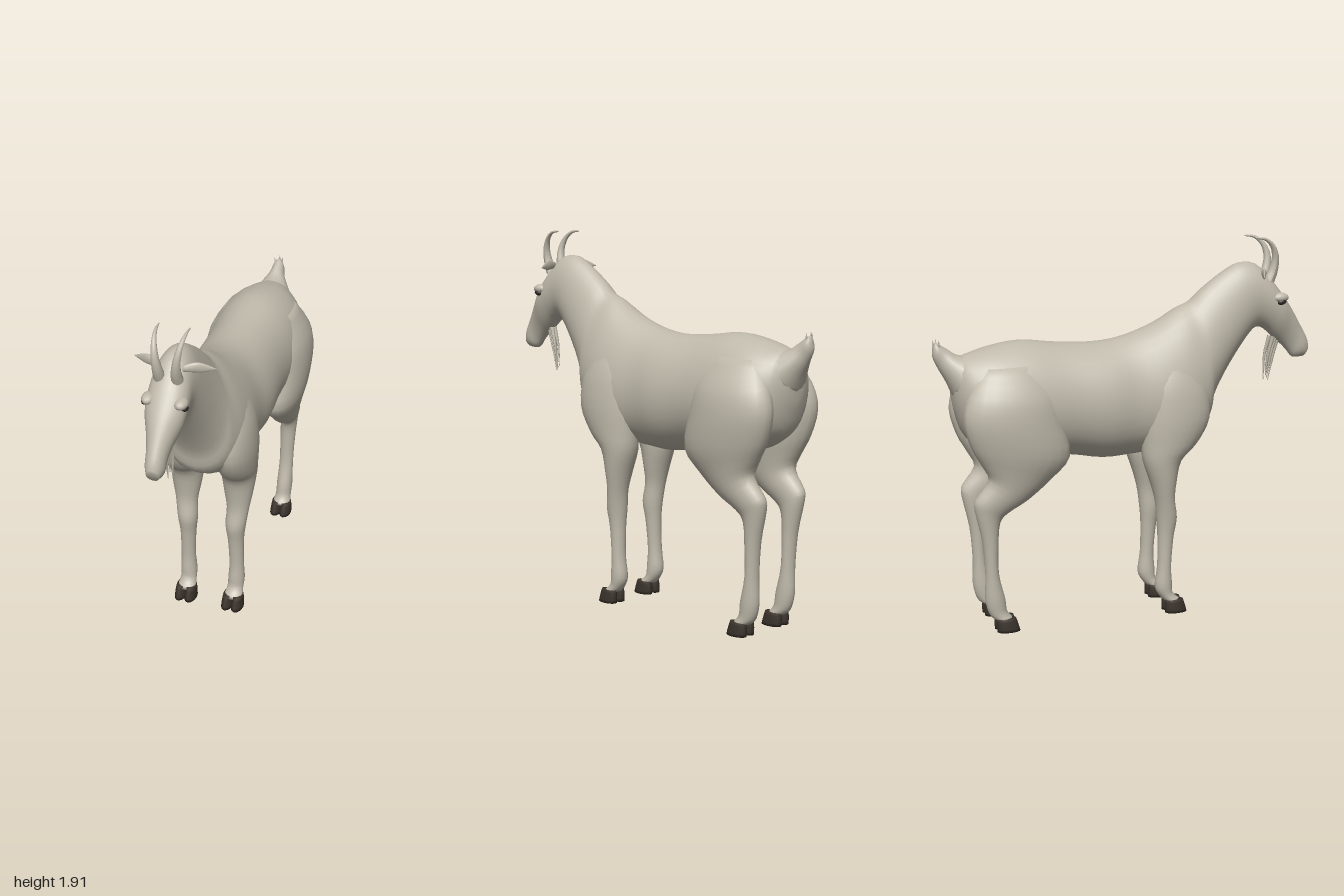
import * as THREE from 'three';

const coat = new THREE.MeshStandardMaterial({ color: 0xbfb9aa });
coat.name = 'coat';
const hoofDark = new THREE.MeshStandardMaterial({ color: 0x3a322b });
hoofDark.name = 'hoof brown';
const eyeDark = new THREE.MeshStandardMaterial({ color: 0x2e2b29 });
eyeDark.name = 'eye dark';

// Closed skin through oval rings. Section: [zTop, yTop, zBottom, yBottom, centreX, halfWidth, egg]
// (egg > 0 makes the lower side of the ring wider). Values are splined between sections.
function loft(sections, sides = 24, sub = 3) {
  const rows = (sections.length - 1) * sub;
  const at = (i, k) => sections[Math.max(0, Math.min(sections.length - 1, i))][k] ?? 0;
  const pos = [], index = [], centres = [];
  for (let r = 0; r <= rows; r++) {
    const i = Math.min(Math.floor(r / sub), sections.length - 2), t = r / sub - i;
    const [zt, yt, zb, yb, cx, w, egg] = [0, 1, 2, 3, 4, 5, 6].map((k) => {
      const a = at(i - 1, k), b = at(i, k), c = at(i + 1, k), d = at(i + 2, k);
      return b + 0.5 * t * (c - a + t * (2 * a - 5 * b + 4 * c - d + t * (3 * (b - c) + d - a)));
    });
    centres.push([cx, (yt + yb) / 2, (zt + zb) / 2]);
    for (let s = 0; s < sides; s++) {
      const a = (s / sides) * Math.PI * 2, c = Math.cos(a);
      pos.push(cx + w * Math.sin(a) * (1 - egg * c), (yt + yb) / 2 + c * (yt - yb) / 2, (zt + zb) / 2 + c * (zt - zb) / 2);
    }
  }
  for (let r = 0; r < rows; r++) {
    for (let s = 0; s < sides; s++) {
      const a = r * sides + s, b = r * sides + (s + 1) % sides;
      index.push(a, a + sides, b, b, a + sides, b + sides);
    }
  }
  // end caps
  const first = pos.length / 3, last = first + 1;
  pos.push(...centres[0], ...centres[rows]);
  for (let s = 0; s < sides; s++) {
    const n = (s + 1) % sides, o = rows * sides;
    index.push(first, s, n, last, o + n, o + s);
  }
  const g = new THREE.BufferGeometry();
  g.setAttribute('position', new THREE.Float32BufferAttribute(pos, 3));
  g.setIndex(index);
  g.computeVertexNormals();
  return g;
}

// Tube along points, narrowing from r0 to r1
function taperedTube(points, r0, r1, sides = 10) {
  const curve = new THREE.CatmullRomCurve3(points.map((p) => new THREE.Vector3(...p)));
  const g = new THREE.TubeGeometry(curve, 16, r0, sides);
  const p = g.attributes.position, v = new THREE.Vector3();
  for (let i = 0; i < p.count; i++) {
    const u = g.attributes.uv.getX(i), c = curve.getPointAt(u);
    v.fromBufferAttribute(p, i).sub(c).multiplyScalar(1 + (r1 / r0 - 1) * u).add(c);
    p.setXYZ(i, v.x, v.y, v.z);
  }
  g.computeVertexNormals();
  return g;
}

function add(parent, name, geometry, material) {
  const m = new THREE.Mesh(geometry, material);
  m.name = name;
  parent.add(m);
  return m;
}

function ellipsoid(parent, name, material, [x, y, z], [sx, sy, sz]) {
  const m = add(parent, name, new THREE.SphereGeometry(1, 16, 12), material);
  m.position.set(x, y, z);
  m.scale.set(sx, sy, sz);
  return m;
}

// Cloven hoof: two toes side by side
function hoof(parent, name, z) {
  for (const x of [0.103, 0.157]) {
    add(parent, name, loft([
      [z + 0.04, 0.07, z - 0.055, 0.068, x, 0.025],
      [z + 0.052, 0.035, z - 0.057, 0.035, x, 0.03],
      [z + 0.062, 0, z - 0.055, 0, x, 0.032],
    ], 12, 2), hoofDark);
  }
}

// Everything that exists once per side, modelled on the +x side
function buildSide() {
  const side = new THREE.Group();
  add(side, 'frontLeg', loft([
    [0.30, 1.32, 0.10, 1.32, 0.13, 0.05],
    [0.37, 1.18, 0.05, 1.2, 0.145, 0.085],
    [0.385, 1.02, 0.03, 1.04, 0.15, 0.098],
    [0.32, 0.89, 0.03, 0.9, 0.143, 0.097],
    [0.24, 0.81, 0.038, 0.81, 0.138, 0.09],
    [0.213, 0.7, 0.075, 0.7, 0.138, 0.075],
    [0.205, 0.6, 0.102, 0.6, 0.138, 0.058],
    [0.22, 0.5, 0.113, 0.5, 0.13, 0.053],
    [0.203, 0.4, 0.12, 0.4, 0.13, 0.042],
    [0.19, 0.25, 0.118, 0.25, 0.133, 0.038],
    [0.195, 0.16, 0.105, 0.14, 0.132, 0.043],
    [0.20, 0.1, 0.13, 0.085, 0.13, 0.042],
    [0.245, 0.06, 0.155, 0.06, 0.13, 0.05],
  ]), coat);
  add(side, 'hindLeg', loft([
    [-0.50, 1.34, -0.78, 1.33, 0.12, 0.06],
    [-0.42, 1.2, -0.86, 1.2, 0.155, 0.105],
    [-0.39, 1.05, -0.885, 1.08, 0.165, 0.117],
    [-0.355, 0.88, -0.85, 0.95, 0.16, 0.113],
    [-0.45, 0.77, -0.80, 0.86, 0.155, 0.093],
    [-0.57, 0.67, -0.765, 0.78, 0.15, 0.073],
    [-0.67, 0.61, -0.83, 0.69, 0.145, 0.056],
    [-0.71, 0.56, -0.835, 0.63, 0.14, 0.048],
    [-0.72, 0.45, -0.80, 0.47, 0.137, 0.041],
    [-0.72, 0.3, -0.787, 0.3, 0.134, 0.038],
    [-0.69, 0.17, -0.79, 0.17, 0.132, 0.043],
    [-0.68, 0.1, -0.77, 0.09, 0.13, 0.042],
    [-0.645, 0.06, -0.74, 0.06, 0.13, 0.05],
  ]), coat);
  hoof(side, 'frontHoof', 0.208);
  hoof(side, 'hindHoof', -0.682);

  add(side, 'horn', taperedTube([
    [0.042, 1.68, 0.75], [0.044, 1.73, 0.772], [0.052, 1.80, 0.78],
    [0.062, 1.86, 0.758], [0.07, 1.895, 0.715], [0.073, 1.902, 0.66],
  ], 0.029, 0.003), coat);

  // thin leaf-shaped ear, pointing outwards and slightly back
  const ear = add(side, 'ear', loft([
    [0, 0.015, 0, -0.015, 0, 0.012],
    [0.05, 0.03, 0.05, -0.02, 0, 0.012],
    [0.09, 0.025, 0.09, -0.022, 0, 0.008],
    [0.15, -0.005, 0.15, -0.009, 0, 0.002],
  ], 12), coat);
  ear.position.set(0.055, 1.722, 0.715);
  ear.rotation.y = 1.95;

  ellipsoid(side, 'brow', coat, [0.078, 1.595, 0.80], [0.032, 0.026, 0.045]);
  const eye = ellipsoid(side, 'eye', eyeDark, [0.095, 1.575, 0.802], [0.016, 0.015, 0.024]);
  eye.rotation.x = -0.2;
  return side;
}

export function createModel() {
  const model = new THREE.Group();
  model.name = 'goat';

  // rump, barrel, chest, neck and head in one skin
  add(model, 'bodyAndHead', loft([
    [-0.905, 1.29, -0.90, 1.14, 0, 0.05],
    [-0.87, 1.365, -0.86, 1.0, 0, 0.135],
    [-0.80, 1.393, -0.79, 0.93, 0, 0.195],
    [-0.70, 1.42, -0.68, 0.88, 0, 0.23],
    [-0.55, 1.44, -0.50, 0.85, 0, 0.235, 0.05],
    [-0.35, 1.418, -0.33, 0.85, 0, 0.225, 0.05],
    [-0.15, 1.412, -0.15, 0.82, 0, 0.23, 0.05],
    [0, 1.438, 0, 0.825, 0, 0.213, 0.1],
    [0.15, 1.495, 0.15, 0.84, 0, 0.222, 0.18],
    [0.26, 1.56, 0.29, 0.875, 0, 0.21, 0.25],
    [0.33, 1.59, 0.405, 0.96, 0, 0.18, 0.25],
    [0.385, 1.64, 0.435, 1.07, 0, 0.155, 0.25],
    [0.45, 1.69, 0.505, 1.2, 0, 0.132, 0.2],
    [0.52, 1.737, 0.595, 1.335, 0, 0.115, 0.15],
    [0.60, 1.775, 0.665, 1.42, 0, 0.104, 0.08],
    [0.69, 1.765, 0.705, 1.44, 0, 0.098, 0],
    [0.77, 1.69, 0.745, 1.425, 0, 0.098, -0.12],
    [0.835, 1.61, 0.795, 1.38, 0, 0.09, -0.2],
    [0.89, 1.535, 0.845, 1.338, 0, 0.066, -0.2],
    [0.945, 1.445, 0.878, 1.305, 0, 0.05, -0.1],
    [0.985, 1.375, 0.91, 1.27, 0, 0.046],
    [0.997, 1.33, 0.965, 1.27, 0, 0.03],
  ], 32), coat);

  // short upright tail, tip first
  add(model, 'tail', loft([
    [-0.98, 1.45, -0.992, 1.42, 0, 0.012],
    [-0.96, 1.44, -0.993, 1.375, 0, 0.03],
    [-0.922, 1.415, -0.968, 1.32, 0, 0.042],
    [-0.875, 1.385, -0.935, 1.26, 0, 0.075],
    [-0.80, 1.37, -0.90, 1.18, 0, 0.12],
  ], 16), coat);
  for (const [x, z] of [[-0.015, -0.965], [0.015, -0.972], [0, -0.99]]) {
    add(model, 'tailTuft', taperedTube([[x, 1.415, z + 0.005], [x * 1.2, 1.44, z], [x * 1.5, 1.462, z]], 0.009, 0.001, 6), coat);
  }

  // beard of hanging strands
  for (let i = 0; i < 6; i++) {
    const x = (i % 2 ? 1 : -1) * (0.004 + 0.002 * i), z = 0.825 - 0.008 * i;
    add(model, 'beardStrand', taperedTube([
      [x, 1.385, z], [x * 1.1, 1.29, z - 0.025], [x * 0.8, 1.155 + 0.012 * ((i * 3) % 5), 0.772 - 0.004 * i],
    ], 0.011, 0.002, 6), coat);
  }

  // mirrored halves
  const left = buildSide();
  left.name = 'leftSide';
  const right = buildSide();
  right.name = 'rightSide';
  right.scale.x = -1;
  model.add(left, right);
  return model;
}
